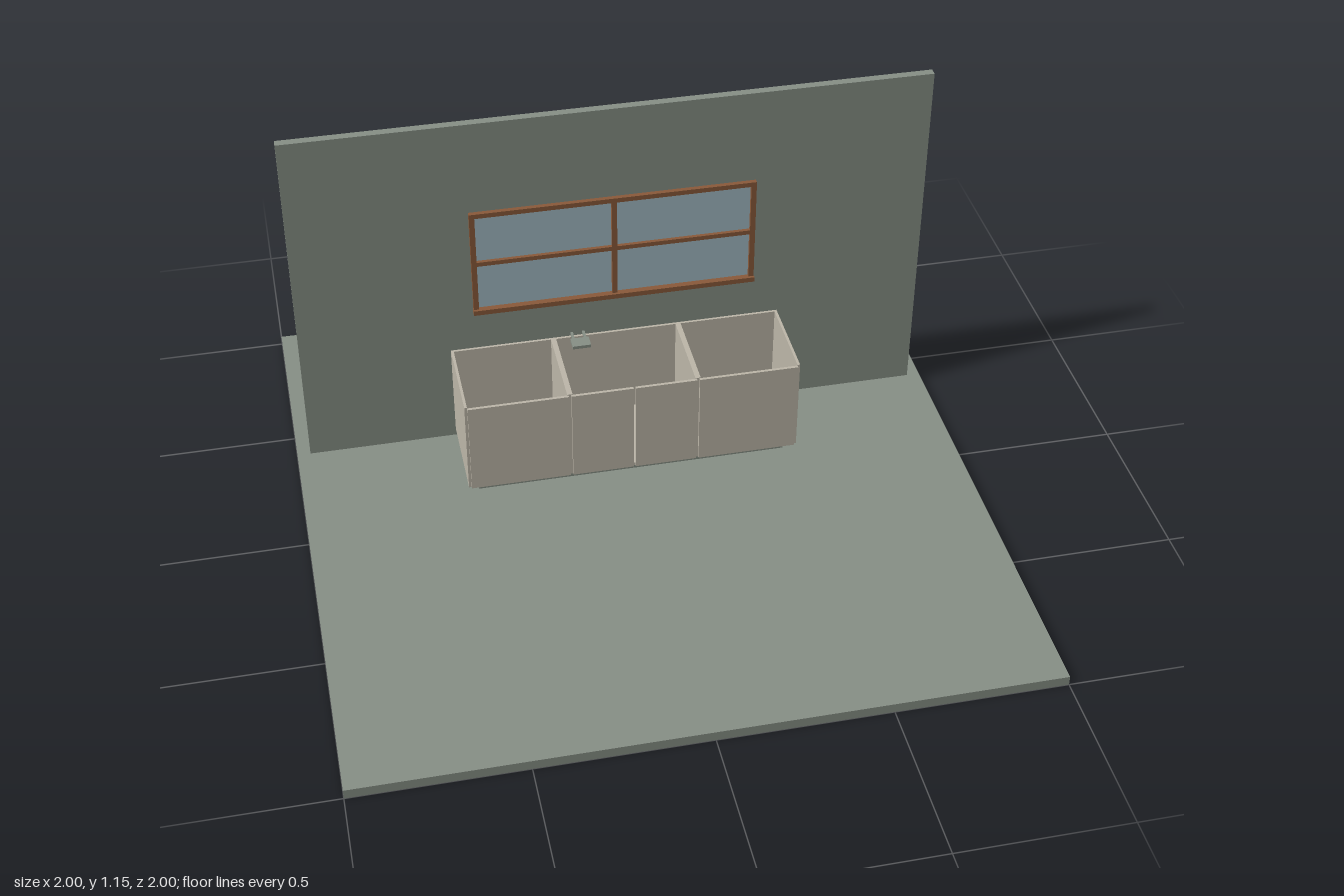
import * as THREE from 'three';

const material = (name, color) => {
  const m = new THREE.MeshStandardMaterial({ color });
  m.name = name;
  return m;
};

export function createModel() {
  const plaster = material('sage plaster', 0x879086);
  const cream = material('cream cabinet', 0xbdb7a9);
  const wood = material('brown wood', 0x8a5a3a);
  const glass = material('pale blue glass', 0xa3bac4);

  const model = new THREE.Group();
  model.name = 'kitchenWall';

  // Box given by its low and high limits on each axis
  const box = (parent, name, mat, [x0, x1], [y0, y1], [z0, z1]) => {
    const mesh = new THREE.Mesh(new THREE.BoxGeometry(x1 - x0, y1 - y0, z1 - z0), mat);
    mesh.position.set((x0 + x1) / 2, (y0 + y1) / 2, (z0 + z1) / 2);
    mesh.name = name;
    parent.add(mesh);
    return mesh;
  };
  const group = (name) => {
    const g = new THREE.Group();
    g.name = name;
    model.add(g);
    return g;
  };

  // Floor slab and the two-course wall
  box(model, 'floor', plaster, [-1, 1], [0, 0.03], [-1, 1]);
  const wall = group('wall');
  box(wall, 'lowerWall', plaster, [-0.96, 0.96], [0.03, 0.5], [-0.407, -0.382]);
  box(wall, 'upperWall', plaster, [-0.96, 0.96], [0.5, 1.15], [-0.407, -0.382]);

  // Window: pane through the wall, frame on the inside, sill on both sides
  const win = group('window');
  const frameZ = [-0.382, -0.368];
  box(win, 'pane', glass, [-0.425, 0.425], [0.505, 0.845], [-0.409, -0.379]);
  for (const s of [-1, 1]) {
    box(win, 'jamb', wood, [s * 0.423 - 0.008, s * 0.423 + 0.008], [0.5, 0.852], frameZ);
  }
  box(win, 'mullion', wood, [-0.008, 0.008], [0.51, 0.838], frameZ);
  box(win, 'headRail', wood, [-0.415, 0.415], [0.837, 0.852], frameZ);
  box(win, 'transom', wood, [-0.415, 0.415], [0.667, 0.681], frameZ);
  box(win, 'sill', wood, [-0.432, 0.432], [0.495, 0.511], [-0.435, -0.36]);

  // Three open-topped cabinets on a recessed plinth
  box(model, 'plinth', plaster, [-0.475, 0.475], [0.03, 0.066], [-0.332, -0.112]);
  const cabinets = group('cabinets');
  const t = 0.008;
  const carcassY = [0.066, 0.372];
  const carcassZ = [-0.366, -0.083];
  for (const [x0, x1] of [[-0.508, -0.194], [-0.194, 0.194], [0.194, 0.508]]) {
    box(cabinets, 'cabinetBase', cream, [x0, x1], [0.066, 0.076], carcassZ);
    box(cabinets, 'cabinetBack', cream, [x0, x1], carcassY, [-0.366, -0.358]);
    box(cabinets, 'cabinetSide', cream, [x0, x0 + t], carcassY, carcassZ);
    box(cabinets, 'cabinetSide', cream, [x1 - t, x1], carcassY, carcassZ);
  }

  // Four doors, separated by narrow gaps
  for (const [x0, x1] of [[-0.5, -0.198], [-0.19, -0.003], [0.003, 0.19], [0.198, 0.5]]) {
    box(cabinets, 'door', cream, [x0, x1], [0.068, 0.37], [-0.083, -0.074]);
  }

  // Small tap floating above the middle cabinet
  const tap = group('tap');
  box(tap, 'tapBody', plaster, [-0.15, -0.094], [0.392, 0.402], [-0.311, -0.27]);
  for (const x of [-0.14, -0.104]) {
    box(tap, 'tapPipe', plaster, [x - 0.004, x + 0.004], [0.393, 0.4], [-0.346, -0.311]);
  }

  return model;
}
